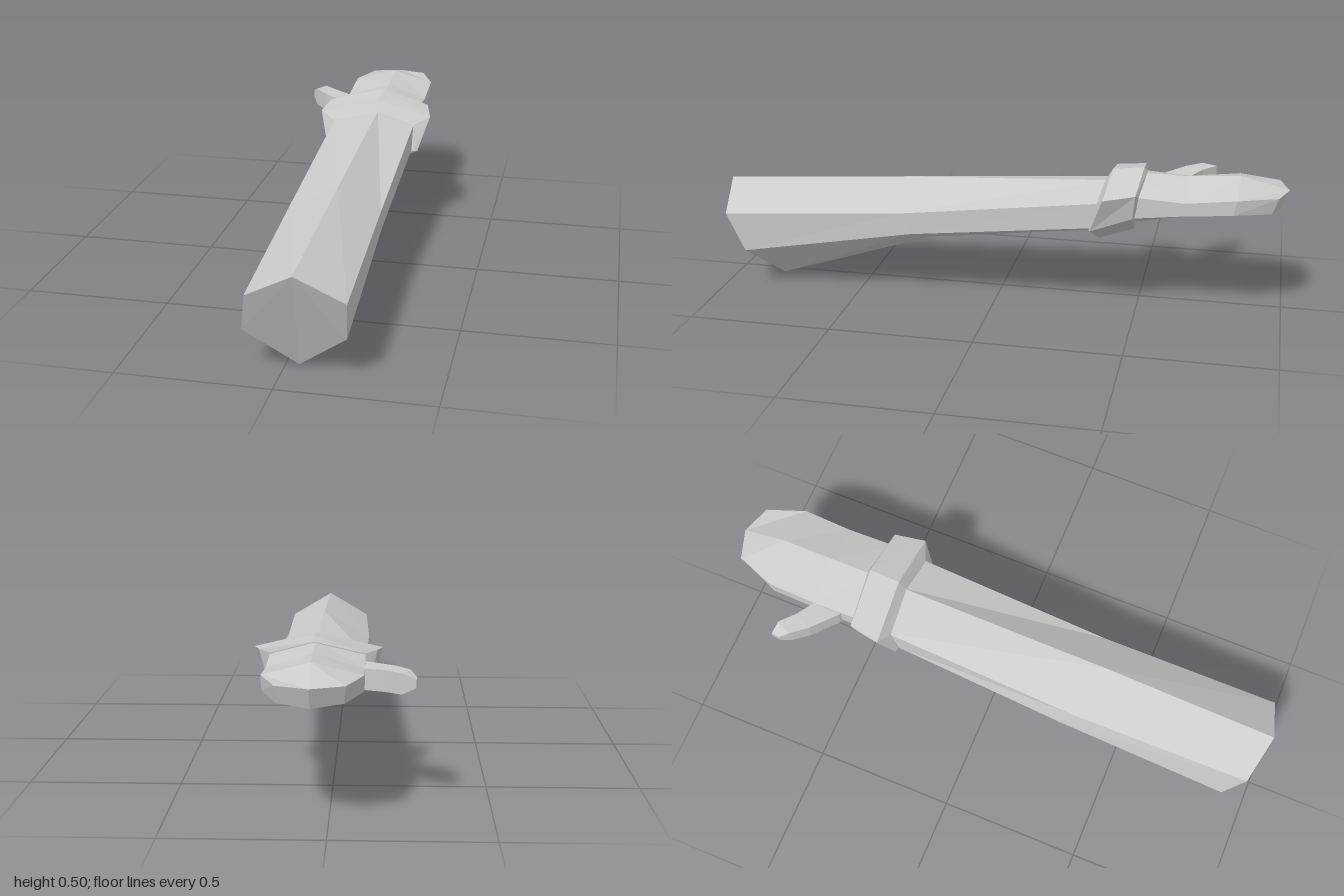
import * as THREE from 'three';

const material = new THREE.MeshStandardMaterial({ color: 0xcccccc, flatShading: true });

// Skin a row of equal-sized rings of [x, y, z] and close both ends.
function loft(name, rings) {
  const n = rings[0].length, pos = [];
  const tri = (a, b, c) => pos.push(...a, ...b, ...c);
  for (let r = 0; r < rings.length - 1; r++) {
    const a = rings[r], b = rings[r + 1];
    for (let i = 0; i < n; i++) {
      const j = (i + 1) % n;
      tri(a[i], b[i], b[j]);
      tri(a[i], b[j], a[j]);
    }
  }
  const first = rings[0], last = rings[rings.length - 1];
  for (let i = 1; i < n - 1; i++) {
    tri(first[0], first[i], first[i + 1]);
    tri(last[0], last[i + 1], last[i]);
  }
  const geometry = new THREE.BufferGeometry();
  geometry.setAttribute('position', new THREE.Float32BufferAttribute(pos, 3));
  geometry.computeVertexNormals();
  const mesh = new THREE.Mesh(geometry, material);
  mesh.name = name;
  return mesh;
}

// Six-sided section: ridge, two upper corners, two lower corners, keel.
// Upper and lower are [left x, right x, y, z]; ridge and keel are [x, y, z].
const hex = (ridge, up, low, keel) => [
  ridge,
  [up[0], up[2], up[3]],
  [low[0], low[2], low[3]],
  keel,
  [low[1], low[2], low[3]],
  [up[1], up[2], up[3]],
];

// Four-sided thumb section: back and front edges at [x, z], between two heights.
const quad = (back, front, top, bottom) => [
  [back[0], top, back[1]],
  [front[0], top, front[1]],
  [front[0], bottom, front[1]],
  [back[0], bottom, back[1]],
];

export function createModel() {
  const group = new THREE.Group();
  group.name = 'arm';

  // Sleeve, flaring towards the open end
  group.add(loft('sleeve', [
    hex([0.065, 0.372, 1], [-0.09, 0.22, 0.285, 0.97], [-0.118, 0.208, 0.143, 0.91], [0.042, 0, 0.83]),
    hex([0.065, 0.415, 0.37], [-0.108, 0.203, 0.325, 0.33], [-0.127, 0.2, 0.25, 0.29], [0.045, 0.185, 0.26]),
    hex([0.06, 0.45, -0.39], [-0.105, 0.202, 0.412, -0.38], [-0.108, 0.2, 0.322, -0.36], [0.048, 0.262, -0.36]),
  ]));

  // Cuff, with a bevelled step at the front and back
  group.add(loft('cuff', [
    hex([0.06, 0.45, -0.375], [-0.105, 0.202, 0.412, -0.365], [-0.112, 0.21, 0.318, -0.34], [0.048, 0.255, -0.345]),
    hex([0.06, 0.492, -0.4], [-0.16, 0.262, 0.441, -0.39], [-0.128, 0.222, 0.317, -0.345], [0.048, 0.23, -0.357]),
    hex([0.06, 0.505, -0.508], [-0.143, 0.237, 0.456, -0.497], [-0.125, 0.218, 0.37, -0.487], [0.048, 0.275, -0.48]),
    hex([0.058, 0.485, -0.518], [-0.105, 0.202, 0.445, -0.505], [-0.105, 0.2, 0.375, -0.495], [0.048, 0.3, -0.49]),
  ]));

  // Mitten-shaped hand
  group.add(loft('hand', [
    hex([0.055, 0.483, -0.49], [-0.105, 0.202, 0.442, -0.48], [-0.105, 0.2, 0.365, -0.48], [0.048, 0.3, -0.48]),
    hex([0.055, 0.481, -0.66], [-0.105, 0.202, 0.432, -0.66], [-0.105, 0.2, 0.385, -0.65], [0.048, 0.35, -0.65]),
    hex([0.052, 0.492, -0.835], [-0.105, 0.202, 0.452, -0.83], [-0.105, 0.2, 0.4, -0.82], [0.048, 0.384, -0.82]),
    hex([0.05, 0.452, -1], [-0.055, 0.152, 0.453, -0.965], [-0.05, 0.147, 0.396, -0.945], [0.048, 0.388, -0.975]),
  ]));

  // Thumb, curving outward and along the hand
  group.add(loft('thumb', [
    quad([-0.06, -0.64], [-0.06, -0.53], 0.425, 0.362),
    quad([-0.107, -0.66], [-0.113, -0.56], 0.432, 0.364),
    quad([-0.165, -0.695], [-0.2, -0.635], 0.437, 0.368),
    quad([-0.218, -0.742], [-0.245, -0.69], 0.438, 0.372),
    quad([-0.262, -0.75], [-0.265, -0.72], 0.42, 0.395),
  ]));

  return group;
}
